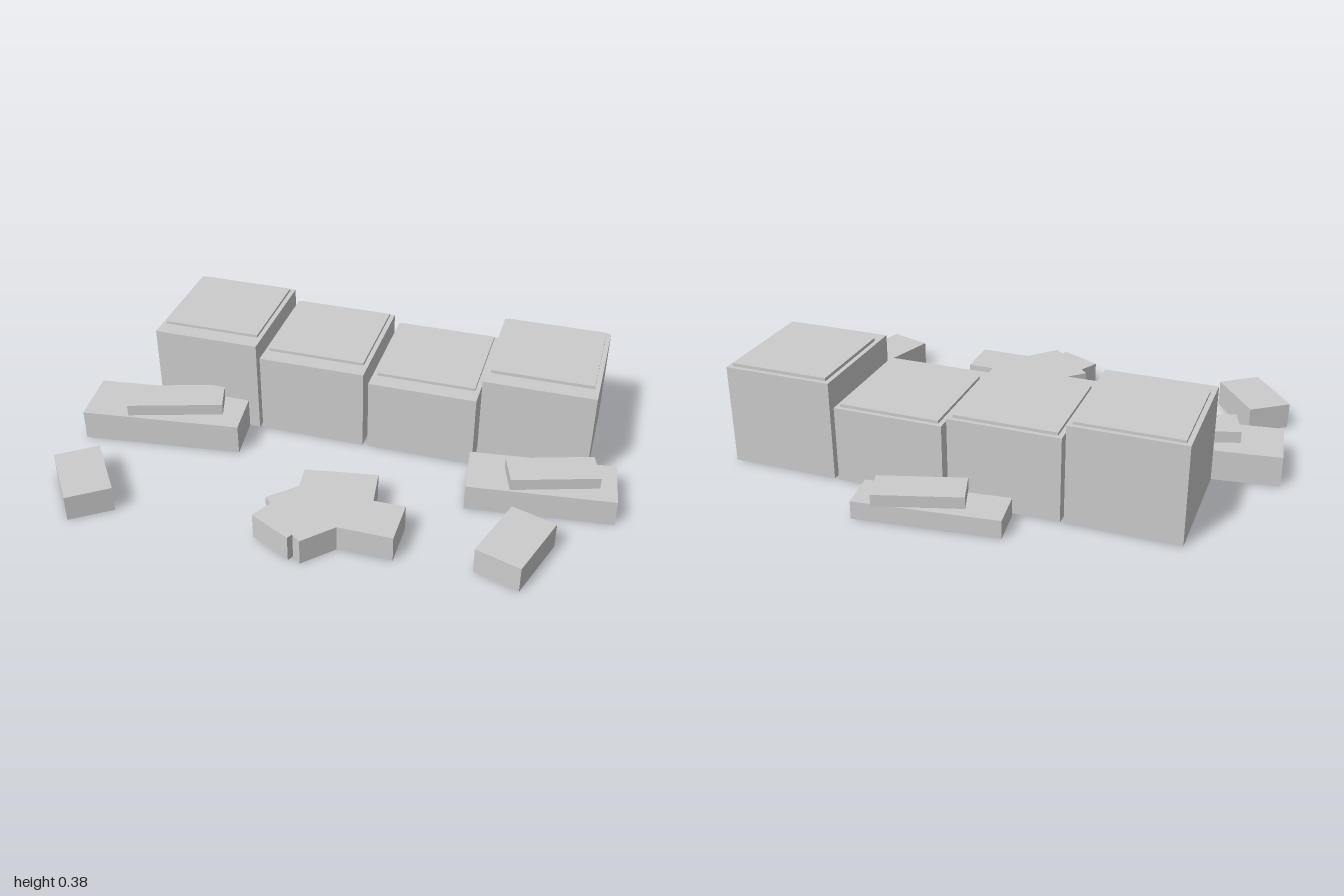
import * as THREE from 'three';

export function createModel() {
  const model = new THREE.Group();
  const stone = new THREE.MeshStandardMaterial({ color: 0xcccccc });
  stone.name = 'pale grey stone';

  const add = (name, geometry, parent = model) => {
    const mesh = new THREE.Mesh(geometry, stone);
    mesh.name = name;
    parent.add(mesh);
    return mesh;
  };

  // Box from height y0 to y1, turned about the vertical axis
  const block = (name, x, z, width, depth, y0, y1, turn = 0, parent = model) => {
    const mesh = add(name, new THREE.BoxGeometry(width, y1 - y0, depth), parent);
    mesh.position.set(x, (y0 + y1) / 2, z);
    mesh.rotation.y = turn;
    return mesh;
  };

  // Row of four tall blocks, each with a thin raised cap: centre x, height, cap top
  const row = new THREE.Group();
  row.name = 'blockRow';
  model.add(row);
  [
    [-0.565, 0.361, 0.371],
    [-0.154, 0.312, 0.323],
    [0.263, 0.28, 0.291],
    [0.677, 0.368, 0.38],
  ].forEach(([x, height, top], i) => {
    block(`tallBlock${i + 1}`, x, -0.242, 0.398, 0.452, 0, height, 0, row);
    block(`blockCap${i + 1}`, x, -0.266, 0.364, 0.374, height, top, 0, row);
  });

  // Stepped ledges: a wide slab with a smaller slab resting askew on it
  const ledge = (name, lower, upper) => {
    const group = new THREE.Group();
    group.name = name;
    model.add(group);
    block('lowerSlab', ...lower, group);
    block('upperSlab', ...upper, group);
  };
  ledge('rightLedge',
    [-0.692, 0.088, 0.593, 0.221, 0, 0.114, 0.127],
    [-0.655, 0.086, 0.353, 0.135, 0.114, 0.157, 0.307]);
  ledge('leftLedge',
    [0.73, 0.108, 0.517, 0.202, 0, 0.098, 0.119],
    [0.765, 0.107, 0.312, 0.123, 0.098, 0.141, 0.314]);
  ledge('backLedge',
    [0.056, -0.583, 0.514, 0.146, 0, 0.067, 0.115],
    [0.096, -0.583, 0.31, 0.128, 0.067, 0.11, 0.3]);

  // Loose stones in front
  block('rightStone', -0.82, 0.537, 0.258, 0.164, 0, 0.097, -0.94);
  block('leftStone', 0.698, 0.444, 0.258, 0.167, 0, 0.097, 1.265);

  // Pile of fused stones at the front centre, outlined as x, z
  const outline = [
    [-0.075, 0.305], [-0.064, 0.398], [-0.155, 0.487], [-0.128, 0.513], [-0.166, 0.588],
    [-0.016, 0.663], [-0.005, 0.642], [0.027, 0.668], [0.123, 0.567], [0.316, 0.567],
    [0.316, 0.401], [0.203, 0.401], [0.182, 0.262],
  ];
  const shape = new THREE.Shape(outline.map(([x, z]) => new THREE.Vector2(x, -z)));
  const pile = new THREE.ExtrudeGeometry(shape, { depth: 0.097, bevelEnabled: false });
  add('stonePile', pile.rotateX(-Math.PI / 2));

  return model;
}
